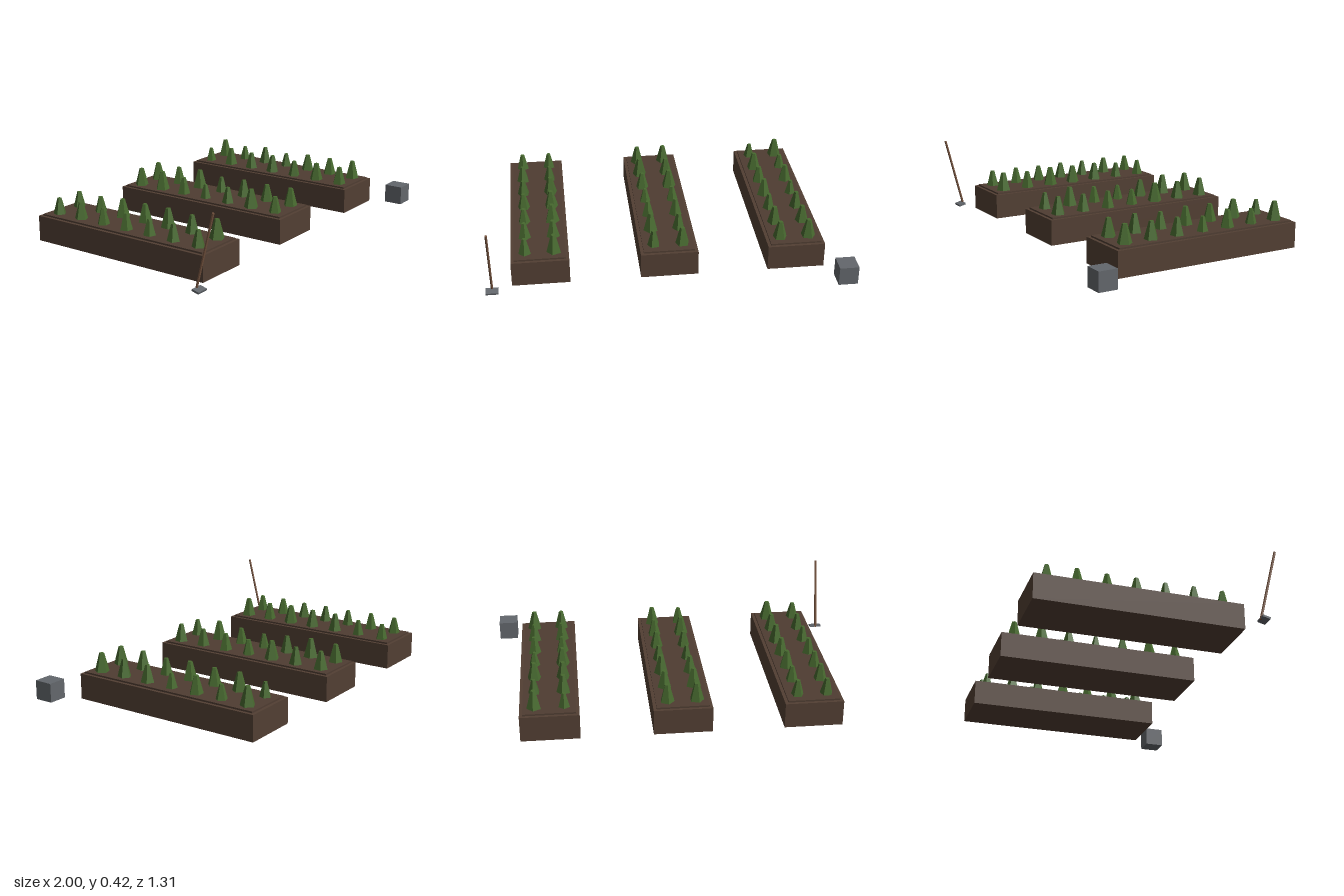
import * as THREE from 'three';

const material = (name, color) => {
  const m = new THREE.MeshStandardMaterial({ color, flatShading: true });
  m.name = name;
  return m;
};

export function createModel() {
  const model = new THREE.Group();
  model.name = 'vegetableGarden';
  const wood = material('bedBrown', 0x523f33);
  const soil = material('soilBrown', 0x4f3d32);
  const leaf = material('leafGreen', 0x47692f);
  const grey = material('metalGrey', 0x63676c);
  const handleWood = material('handleBrown', 0x775540);

  const add = (parent, name, geometry, mat, x, y, z) => {
    const mesh = new THREE.Mesh(geometry, mat);
    mesh.name = name;
    mesh.position.set(x, y, z);
    parent.add(mesh);
    return mesh;
  };

  // Raised beds, each with two columns of seven plants
  const bedGeo = new THREE.BoxGeometry(0.315, 0.142, 1.118);
  const soilGeo = new THREE.BoxGeometry(0.28, 0.03, 1.084);
  const plantGeo = new THREE.CylinderGeometry(0.014, 0.042, 0.106, 5);
  plantGeo.translate(0, 0.053, 0);

  // Plant sizes from back to front, as [right column, left column]
  const sizes = [
    [[0.85, 0.83], [0.88, 0.82], [0.83, 0.95], [0.86, 0.95], [0.83, 1], [0.87, 0.92], [0.86, 1]],
    [[0.95, 0.95], [1, 0.92], [0.9, 1], [0.76, 0.82], [0.85, 0.9], [1, 0.9], [0.86, 0.95]],
    [[0.76, 0.97], [0.95, 0.77], [0.9, 0.92], [0.95, 0.76], [0.85, 0.9], [0.95, 0.92], [0.95, 0.98]],
  ];

  sizes.forEach((rows, b) => {
    const bed = new THREE.Group();
    bed.name = 'gardenBed';
    bed.position.set((b - 1) * 0.701 - 0.002, 0, -0.097);
    model.add(bed);
    add(bed, 'planterBox', bedGeo, wood, 0, 0.071, 0);
    add(bed, 'soil', soilGeo, soil, 0, 0.136, 0);
    rows.forEach((pair, r) => pair.forEach((size, c) => {
      const plant = add(bed, 'plant', plantGeo, leaf, (c - 0.5) * 0.158, 0.15, (r - 3) * 0.158);
      plant.scale.setScalar(size);
      plant.rotation.y = (b * 14 + r * 2 + c) * 2.4;
    }));
  });

  // Leaning hoe
  const hoe = new THREE.Group();
  hoe.name = 'hoe';
  hoe.position.set(-0.966, 0.01, 0.5);
  hoe.rotation.x = 0.25;
  model.add(hoe);
  add(hoe, 'hoeHandle', new THREE.CylinderGeometry(0.007, 0.007, 0.42, 6), handleWood, 0, 0.21, 0);
  add(hoe, 'hoeBlade', new THREE.BoxGeometry(0.068, 0.011, 0.042), grey, 0, 0.006, 0.017);

  // Grey crate
  add(model, 'crate', new THREE.BoxGeometry(0.106, 0.106, 0.106), grey, 0.947, 0.053, 0.603);

  return model;
}
